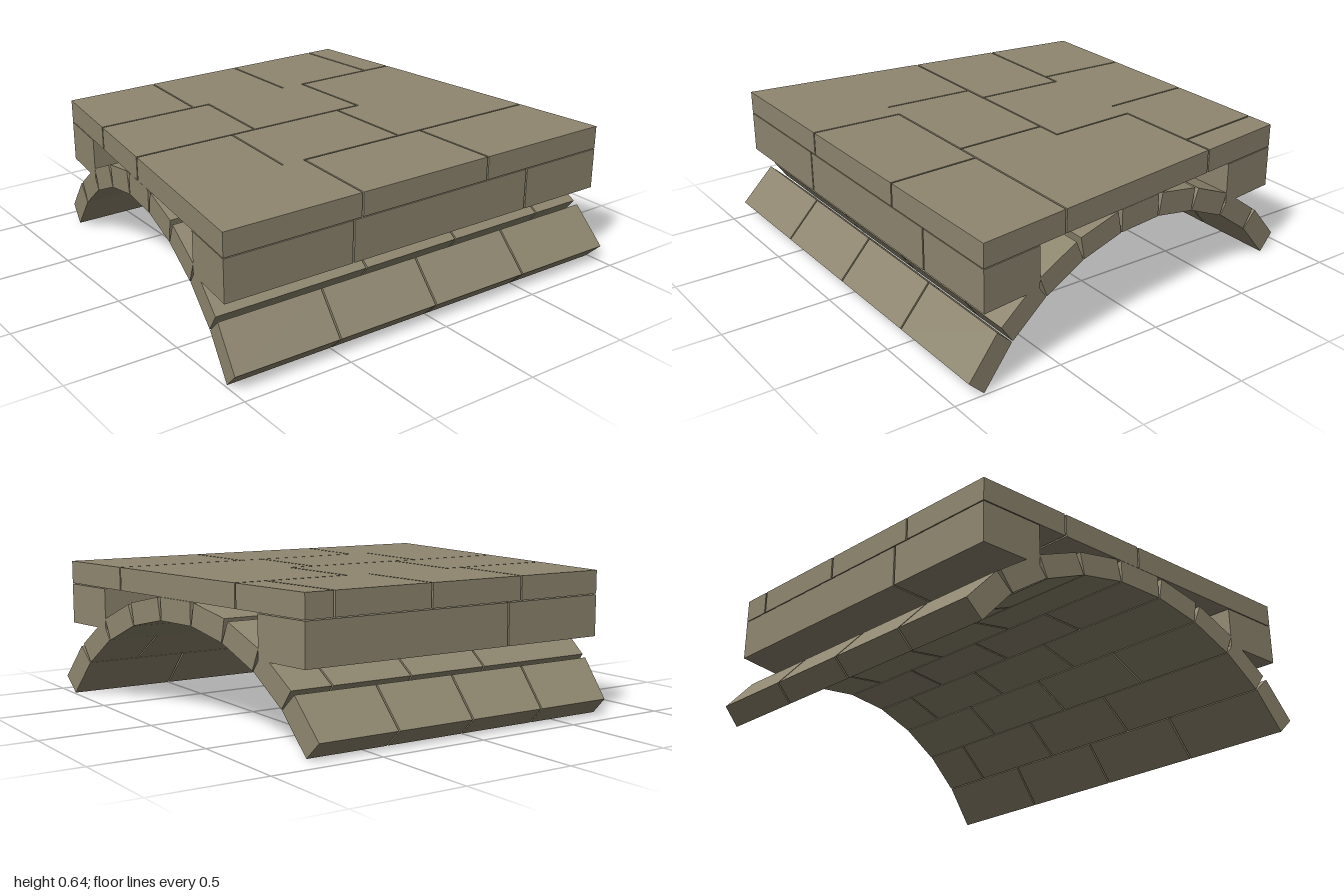
import * as THREE from 'three';

const GAP = 0.004; // half the width of an open joint

// The whole bridge narrows towards the back
const halfWidth = (z) => 0.875 + 0.1337 * z;

// One stone: section is [z, y] for front-bottom, front-top, back-top, back-bottom;
// u0 and u1 are its ends as fractions of the half width
function stone(section, u0, u1, material) {
  const geo = new THREE.BoxGeometry(1, 1, 1);
  const p = geo.attributes.position;
  for (let i = 0; i < p.count; i++) {
    const front = p.getZ(i) > 0, top = p.getY(i) > 0, right = p.getX(i) > 0;
    const [z, y] = section[front ? (top ? 1 : 0) : (top ? 2 : 3)];
    const u = right ? u1 : u0;
    const inset = Math.abs(u) === 1 ? 0 : (right ? -GAP : GAP);
    p.setXYZ(i, u * halfWidth(z) + inset, y, z);
  }
  geo.computeVertexNormals();
  return new THREE.Mesh(geo, material);
}

const rect = (z0, z1, y0, y1) => [[z1, y0], [z1, y1], [z0, y1], [z0, y0]];

// Mirror a section from the front half to the back half
const mirror = ([fb, ft, bt, bb]) => [bb, bt, ft, fb].map(([z, y]) => [-z, y]);

// A row of stones split at the given joints
function course(name, joints, sectionOf, material) {
  const row = new THREE.Group();
  row.name = name;
  const ends = [-1, ...joints, 1];
  for (let i = 0; i < ends.length - 1; i++) {
    const mesh = stone(sectionOf(i), ends[i], ends[i + 1], material);
    mesh.name = name + 'Stone' + (i + 1);
    row.add(mesh);
  }
  return row;
}

export function createModel() {
  const model = new THREE.Group();
  model.name = 'stoneBridge';
  const stoneMat = new THREE.MeshStandardMaterial({ color: 0x8f8770 });
  stoneMat.name = 'weathered stone';

  // Arch: four courses on each side, leading up to the keystones
  const even = [-0.5, 0, 0.5], odd = [-0.25, 0.25, 0.75];
  const archSections = [
    [[0.86, 0], [0.935, 0.073], [0.79, 0.237], [0.715, 0.166]],
    [[0.711, 0.168], [0.77, 0.25], [0.593, 0.376], [0.535, 0.295]],
    [[0.53, 0.295], [0.57, 0.39], [0.371, 0.476], [0.331, 0.383]],
    [[0.327, 0.384], [0.347, 0.486], [0.135, 0.53], [0.115, 0.429]],
  ];
  archSections.forEach((section, i) => {
    const joints = i % 2 ? odd : even;
    model.add(course('frontArchCourse' + (i + 1), joints, () => section, stoneMat));
    model.add(course('backArchCourse' + (i + 1), joints, () => mirror(section), stoneMat));
  });
  model.add(course('keystones', even, () => rect(-0.11, 0.11, 0.429, 0.532), stoneMat));

  // Bearing beams under both ends of the deck
  const beam = rect(0.568, 0.855, 0.343, 0.529);
  model.add(course('frontBeam', [-0.385, 0.57], () => beam, stoneMat));
  model.add(course('backBeam', [-0.33], () => mirror(beam), stoneMat));

  // Deck slabs; the lists give the extra joint at each slab's back and front edge
  const g = 0.008;
  const deck = [
    { z: [-0.855, -0.428], joints: [-0.42, 0.205, 0.825], back: [0, 0, 0, 0], front: [0, 0, 0, 0] },
    { z: [-0.428, 0], joints: [-0.318, 0.343], back: [g, 0, g], front: [g, g, 0] },
    { z: [0, 0.427], joints: [-0.457, 0.205], back: [0, 0, 0], front: [0, 0, 0] },
    { z: [0.427, 0.855], joints: [-0.342, 0.333], back: [0, g, g], front: [0, 0, 0] },
  ];
  deck.forEach(({ z, joints, back, front }, r) => {
    model.add(course('deckRow' + (r + 1), joints,
      (i) => rect(z[0] + back[i], z[1] - front[i], 0.533, 0.638), stoneMat));
  });
  return model;
}
